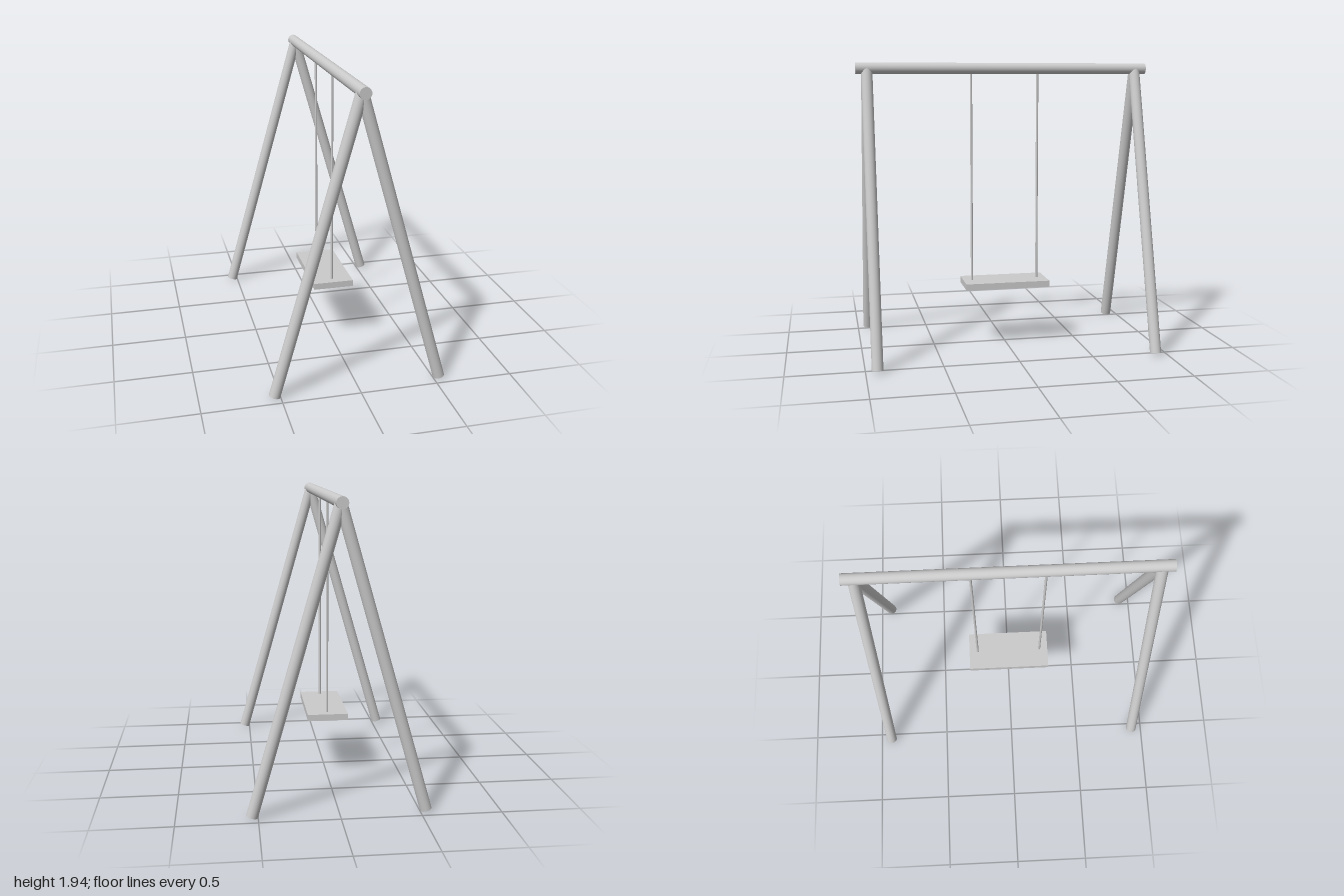
import * as THREE from 'three';

const material = new THREE.MeshStandardMaterial({ color: 0xcccccc });

// Round bar running between two points
function bar(name, from, to, radius, segments) {
  const a = new THREE.Vector3(...from), b = new THREE.Vector3(...to);
  const dir = b.clone().sub(a);
  const mesh = new THREE.Mesh(new THREE.CylinderGeometry(radius, radius, dir.length(), segments), material);
  mesh.name = name;
  mesh.position.copy(a).add(b).multiplyScalar(0.5);
  mesh.quaternion.setFromUnitVectors(new THREE.Vector3(0, 1, 0), dir.normalize());
  return mesh;
}

export function createModel() {
  const group = new THREE.Group();
  group.name = 'swingSet';
  const beamY = 1.9, poleRadius = 0.037;

  // Top beam
  group.add(bar('topBeam', [0, beamY, -1], [0, beamY, 1], poleRadius, 32));

  // A-frame legs, a splayed pair at each end
  for (const [end, z] of [['front', 0.925], ['back', -0.925]]) {
    for (const [side, s] of [['Left', 1], ['Right', -1]]) {
      group.add(bar(`${end}${side}Leg`, [s * 0.537, 0.01, z], [0, beamY - 0.005, z], poleRadius, 32));
    }
  }

  // Hanging ropes
  for (const [name, z] of [['frontRope', 0.23], ['backRope', -0.23]]) {
    group.add(bar(name, [0, 0.43, z], [0, beamY - 0.01, z], 0.008, 16));
  }

  // Seat board
  const seat = new THREE.Mesh(new THREE.BoxGeometry(0.272, 0.043, 0.582), material);
  seat.name = 'seat';
  seat.position.y = 0.423;
  group.add(seat);

  return group;
}
